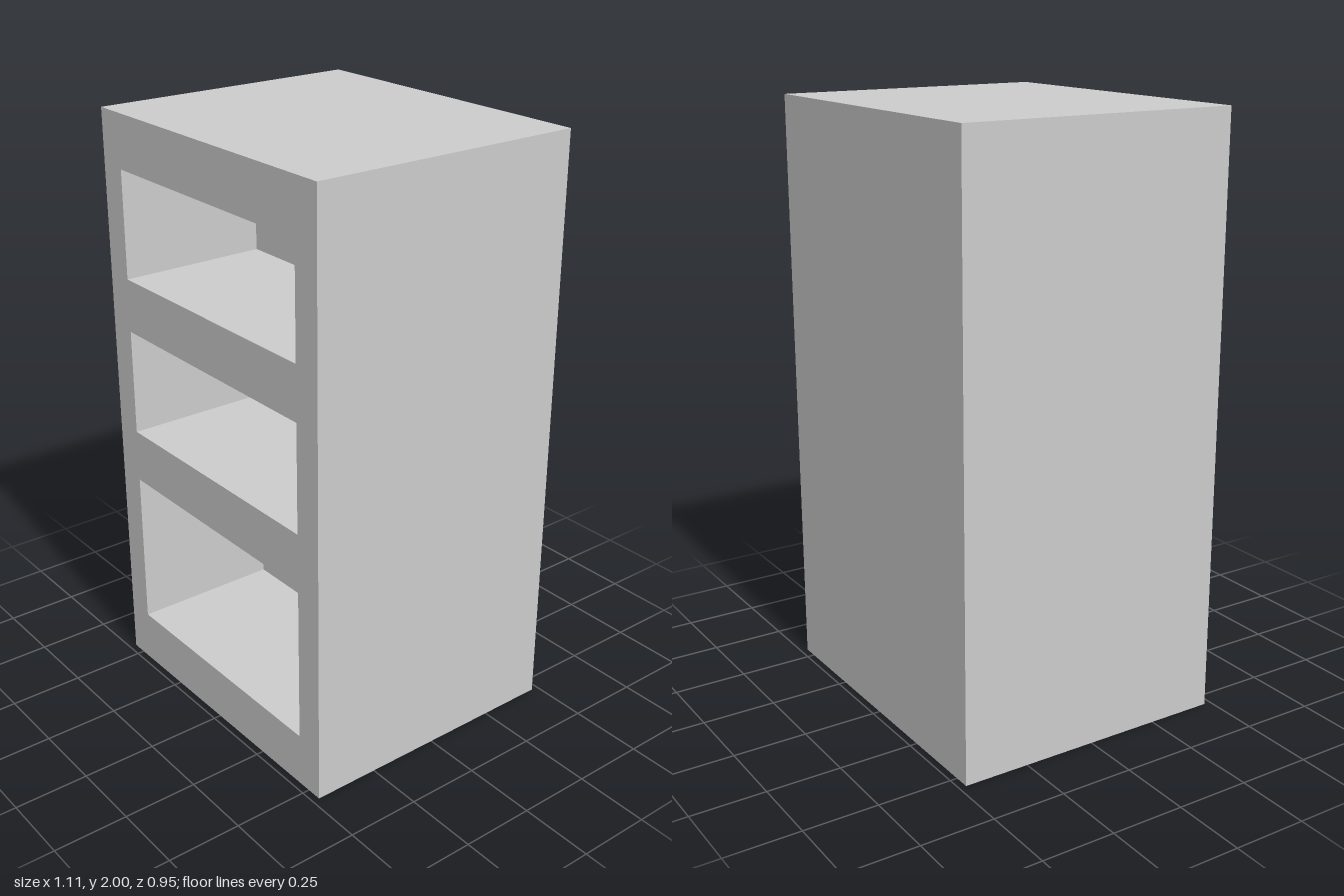
import * as THREE from 'three';

const W = 1.106, H = 2, D = 0.951;   // cabinet size
const NW = 0.907, ND = 0.514;        // niche width and depth
const NICHES = [[0.182, 0.728], [0.91, 1.274], [1.456, 1.82]]; // bottom and top heights

// Box without its front (+z) face; inward turns the walls to face the inside
function openBox(w, h, d, inward = false) {
  const geo = new THREE.BoxGeometry(w, h, d);
  const index = Array.from(geo.index.array);
  index.splice(24, 6);
  geo.clearGroups();
  if (inward) {
    index.reverse();
    const n = geo.attributes.normal;
    for (let i = 0; i < n.count; i++) n.setXYZ(i, -n.getX(i), -n.getY(i), -n.getZ(i));
  }
  geo.setIndex(index);
  return geo;
}

export function createModel() {
  const group = new THREE.Group();
  group.name = 'shelfCabinet';
  const material = new THREE.MeshStandardMaterial({ color: 0xcccccc });
  const add = (name, geo, x, y, z) => {
    const mesh = new THREE.Mesh(geo, material);
    mesh.name = name;
    mesh.position.set(x, y, z);
    group.add(mesh);
  };

  // Outer walls
  add('cabinetBody', openBox(W, H, D), 0, H / 2, 0);

  // Front panel with three rectangular openings
  const rect = (path, w, y0, y1) => path.moveTo(-w / 2, y0).lineTo(w / 2, y0)
    .lineTo(w / 2, y1).lineTo(-w / 2, y1).closePath();
  const front = rect(new THREE.Shape(), W, 0, H);
  for (const [y0, y1] of NICHES) front.holes.push(rect(new THREE.Path(), NW, y0, y1));
  add('frontPanel', new THREE.ShapeGeometry(front), 0, 0, D / 2);

  // Recessed compartments behind the openings
  const names = ['lowerNiche', 'middleNiche', 'upperNiche'];
  NICHES.forEach(([y0, y1], i) =>
    add(names[i], openBox(NW, y1 - y0, ND, true), 0, (y0 + y1) / 2, (D - ND) / 2));

  return group;
}
